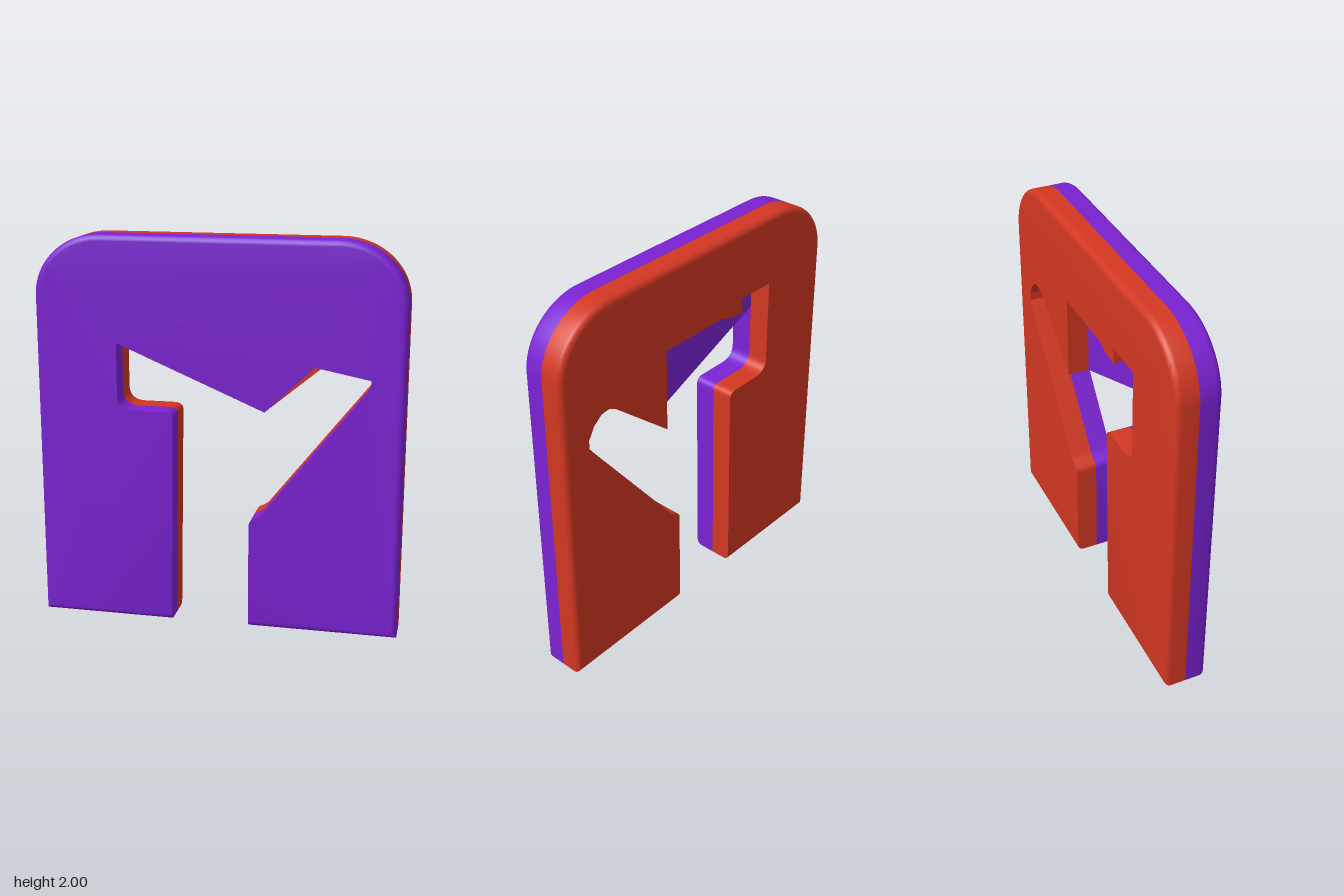
import * as THREE from 'three';
import { toCreasedNormals } from 'three/addons/utils/BufferGeometryUtils.js';

const W = 0.93, H = 2, RX = 0.34, RY = 0.31; // outer half width, height, top corner radii
const DEPTH = 0.112, FILLET = 0.03, STEPS = 5;

// Upper edge of the opening, from left to right, for each layer
const frontOpening = [
  [-0.51, 1.465], [0.245, 1.148], [0.49, 1.385], [0.765, 1.332], [0.765, 1.305], [0.745, 1.265],
];
const backOpening = [
  [-0.51, 1.635], [-0.3, 1.635], [-0.3, 1.555], [-0.22, 1.56], [-0.14, 1.585], [0.255, 1.585],
  [0.255, 1.145], [0.6, 1.435], [0.64, 1.455], [0.69, 1.45], [0.74, 1.41], [0.775, 1.35],
  [0.775, 1.305], [0.745, 1.265],
];

// Arch-topped slab with the opening cut up from the bottom edge
function slabShape(opening) {
  const s = new THREE.Shape();
  s.moveTo(-W, 0);
  s.lineTo(-0.237, 0);
  s.lineTo(-0.222, 1.08);
  s.quadraticCurveTo(-0.22, 1.12, -0.265, 1.122);
  s.lineTo(-0.43, 1.122);
  s.quadraticCurveTo(-0.51, 1.125, -0.51, 1.2);
  opening.forEach(([x, y]) => s.lineTo(x, y));
  s.lineTo(0.25, 0.635);
  s.quadraticCurveTo(0.23, 0.605, 0.205, 0.595);
  s.quadraticCurveTo(0.168, 0.58, 0.168, 0.55);
  s.lineTo(0.168, 0);
  s.lineTo(W, 0);
  s.lineTo(W, H - RY);
  s.absellipse(W - RX, H - RY, RX, RY, 0, Math.PI / 2, false, 0);
  s.lineTo(-W + RX, H);
  s.absellipse(-W + RX, H - RY, RX, RY, Math.PI / 2, Math.PI, false, 0);
  s.lineTo(-W, 0);
  return s;
}

// Extrude in steps, then round only the outer rim by clamping to an inset outline
function slabGeometry(opening, side) {
  const geo = new THREE.ExtrudeGeometry(slabShape(opening), {
    depth: STEPS, steps: STEPS, bevelEnabled: false, curveSegments: 14,
  });
  const p = geo.attributes.position;
  for (let i = 0; i < p.count; i++) {
    const level = Math.round(p.getZ(i));
    const k = side > 0 ? level : STEPS - level;
    const a = (Math.max(k - 1, 0) / (STEPS - 1)) * Math.PI / 2;
    const inset = FILLET * (1 - Math.cos(a));
    const z = k === 0 ? 0 : DEPTH - FILLET + FILLET * Math.sin(a);
    let x = THREE.MathUtils.clamp(p.getX(i), -W + inset, W - inset);
    let y = THREE.MathUtils.clamp(p.getY(i), inset, H - inset);
    const dx = Math.abs(p.getX(i)) - (W - RX), dy = p.getY(i) - (H - RY);
    if (dx > 0 && dy > 0) {
      const scale = Math.min(1, 1 / Math.hypot(dx / (RX - inset), dy / (RY - inset)));
      x = Math.sign(p.getX(i)) * (W - RX + dx * scale);
      y = H - RY + dy * scale;
    }
    p.setXYZ(i, x, y, side * z);
  }
  return toCreasedNormals(geo, 0.5);
}

export function createModel() {
  const purple = new THREE.MeshStandardMaterial({ color: 0x7a22d2 });
  purple.name = 'purple';
  const red = new THREE.MeshStandardMaterial({ color: 0xd23722 });
  red.name = 'red';

  const model = new THREE.Group();
  model.name = 'layeredPlate';

  const front = new THREE.Mesh(slabGeometry(frontOpening, 1), purple);
  front.name = 'frontLayer';
  const back = new THREE.Mesh(slabGeometry(backOpening, -1), red);
  back.name = 'backLayer';
  model.add(front, back);
  return model;
}
